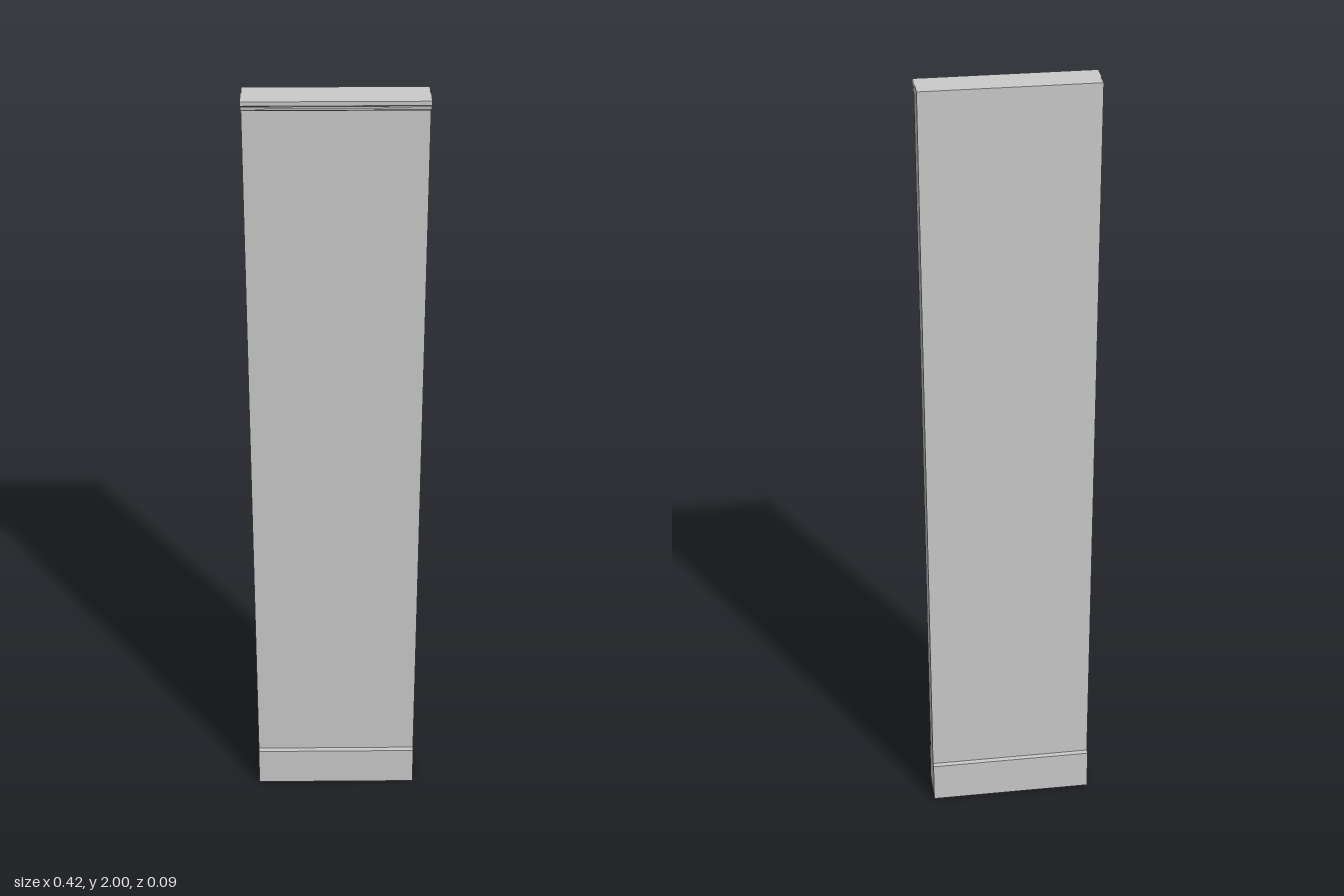
import * as THREE from 'three';

const grey = new THREE.MeshStandardMaterial({ color: 0xcccccc, flatShading: true });
const sheet = new THREE.MeshStandardMaterial({ color: 0xcccccc, flatShading: true, side: THREE.DoubleSide });

function box(name, width, height, depth, bottom) {
  const mesh = new THREE.Mesh(new THREE.BoxGeometry(width, height, depth), grey);
  mesh.name = name;
  mesh.position.y = bottom + height / 2;
  return mesh;
}

// Sweeps an open (z, y) profile along x, leaving the ends uncapped
function strip(name, profile, halfWidth) {
  const points = [];
  for (let i = 0; i < profile.length - 1; i++) {
    const [z0, y0] = profile[i];
    const [z1, y1] = profile[i + 1];
    const a = [-halfWidth, y0, z0], b = [halfWidth, y0, z0];
    const c = [halfWidth, y1, z1], d = [-halfWidth, y1, z1];
    points.push(...a, ...d, ...c, ...a, ...c, ...b);
  }
  const geometry = new THREE.BufferGeometry();
  geometry.setAttribute('position', new THREE.Float32BufferAttribute(points, 3));
  geometry.computeVertexNormals();
  const mesh = new THREE.Mesh(geometry, sheet);
  mesh.name = name;
  return mesh;
}

export function createModel() {
  const group = new THREE.Group();
  group.name = 'wallPanel';

  // Skirting base and tall slab
  group.add(box('skirting', 0.417, 0.11, 0.095, 0));
  group.add(box('panel', 0.417, 1.889, 0.068, 0.11));

  // Thin moulding along the top front edge: a lip, a groove and a small bead
  const moulding = [
    [0, 2], [0.0475, 2], [0.0475, 1.99], [0.044, 1.987], [0.036, 1.986],
    [0.036, 1.982], [0.041, 1.981], [0.042, 1.978], [0.04, 1.975], [0.034, 1.974],
  ];
  group.add(strip('topMoulding', moulding, 0.21));

  return group;
}
